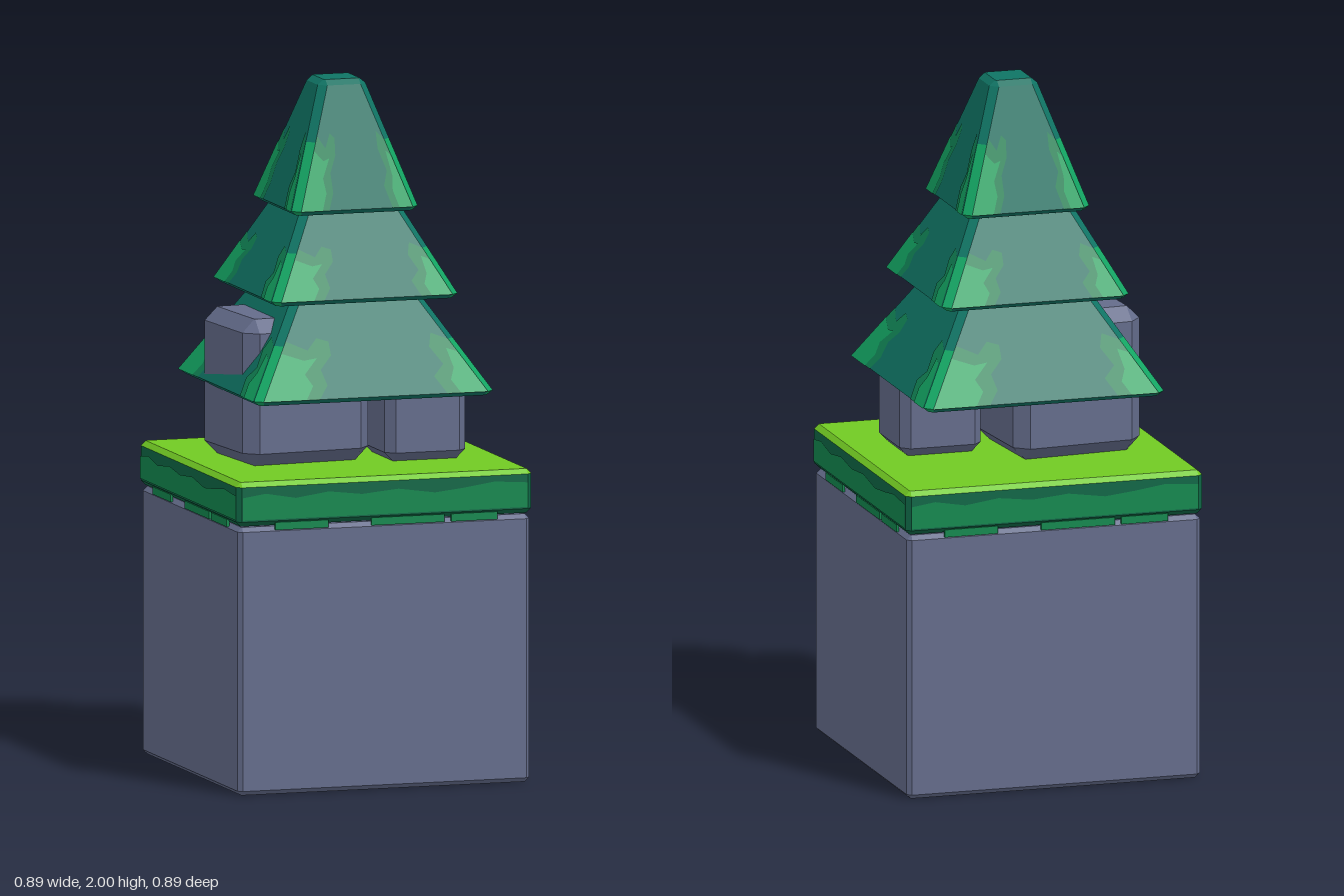
import * as THREE from 'three';

const mat = (name, color) => {
  const m = new THREE.MeshStandardMaterial({ color });
  m.name = name;
  return m;
};

// Outline of a rectangle with cut corners; even sides are flat, odd sides are corners
function ringPoints([hx, hz, c, y]) {
  return [[-hx + c, hz], [hx - c, hz], [hx, hz - c], [hx, -hz + c],
    [hx - c, -hz], [-hx + c, -hz], [-hx, -hz + c], [-hx, hz - c]]
    .map(([x, z]) => [x, y, z]);
}

// Closed solid from stacked rings; pick(row, side) gives a material index
function stack(name, rings, materials, pick = () => 0) {
  const loops = rings.map(ringPoints);
  const buckets = materials.map(() => []);
  const last = loops.length - 1;
  for (let r = 0; r < last; r++) {
    for (let i = 0; i < 8; i++) {
      const j = (i + 1) % 8;
      const a = loops[r][i], b = loops[r][j], c = loops[r + 1][j], d = loops[r + 1][i];
      buckets[pick(r, i)].push(...a, ...b, ...c, ...a, ...c, ...d);
    }
  }
  for (let i = 1; i < 7; i++) {
    buckets[pick('bottom', i)].push(...loops[0][0], ...loops[0][i + 1], ...loops[0][i]);
    buckets[pick('top', i)].push(...loops[last][0], ...loops[last][i], ...loops[last][i + 1]);
  }
  const geo = new THREE.BufferGeometry();
  geo.setAttribute('position', new THREE.Float32BufferAttribute(buckets.flat(), 3));
  let start = 0;
  buckets.forEach((b, k) => {
    geo.addGroup(start, b.length / 3, k);
    start += b.length / 3;
  });
  geo.computeVertexNormals();
  const mesh = new THREE.Mesh(geo, materials);
  mesh.name = name;
  return mesh;
}

// Box with bevelled edges
const bevelRings = (hx, hz, y0, y1, c) => [
  [hx - c, hz - c, 0.002, y0], [hx, hz, c, y0 + c],
  [hx, hz, c, y1 - c], [hx - c, hz - c, 0.002, y1]];

// Flat patch drawn in (u, v), then placed by a mapping rule
function patch(name, points, material, place) {
  const geo = new THREE.ShapeGeometry(new THREE.Shape(points.map(p => new THREE.Vector2(...p))));
  const pos = geo.attributes.position;
  for (let i = 0; i < pos.count; i++) pos.setXYZ(i, ...place(pos.getX(i), pos.getY(i)));
  geo.computeVertexNormals();
  const mesh = new THREE.Mesh(geo, material);
  mesh.name = name;
  return mesh;
}

export function createModel() {
  const stone = mat('stone', 0x646c8b);
  const lime = mat('lime grass', 0x71ca23);
  const turfDark = mat('dark turf', 0x0f6746);
  const turfMid = mat('mid turf', 0x12884f);
  const needle = mat('teal needles', 0x0f7464);
  const leafMid = mat('mid green needles', 0x118657);
  const leafBright = mat('bright green needles', 0x13a563);

  const model = new THREE.Group();
  model.name = 'treeOnBlock';

  // Stone base
  model.add(stack('stoneBlock', bevelRings(0.44, 0.44, 0, 0.775, 0.013), [stone]));

  // Grass slab with a lime top
  model.add(stack('grassSlab', bevelRings(0.445, 0.445, 0.778, 0.906, 0.014),
    [turfDark, lime], r => (r === 2 || r === 'top' || r === 'bottom' ? 1 : 0)));

  // Wavy turf band and hanging tufts on each side
  const wave = [[-0.43, 0.797], [0.43, 0.797], [0.43, 0.868], [0.33, 0.875], [0.24, 0.862],
    [0.15, 0.852], [0.04, 0.868], [-0.07, 0.858], [-0.17, 0.87], [-0.27, 0.856], [-0.36, 0.872], [-0.43, 0.862]];
  const tufts = [[-0.33, -0.17], [-0.04, 0.18], [0.2, 0.34]];
  for (let s = 0; s < 4; s++) {
    const side = new THREE.Group();
    side.name = 'turfSide';
    side.rotation.y = s * Math.PI / 2;
    side.add(patch('turfBand', wave, turfMid, (u, v) => [u, v, 0.447]));
    for (const [a, b] of tufts) {
      const tuft = new THREE.Mesh(new THREE.BoxGeometry(b - a, 0.022, 0.008), turfMid);
      tuft.name = 'hangingTuft';
      tuft.position.set((a + b) / 2, 0.776, 0.439);
      side.add(tuft);
    }
    model.add(side);
  }

  // Rocks
  const bigRock = stack('bigRock', bevelRings(0.195, 0.176, 0.906, 1.33, 0.038), [stone]);
  bigRock.position.set(-0.146, 0, -0.012);
  bigRock.rotation.y = 0.08;
  const smallRock = stack('smallRock', bevelRings(0.122, 0.122, 0.906, 1.135, 0.026), [stone]);
  smallRock.position.set(0.21, 0, 0.077);
  model.add(bigRock, smallRock);

  // Leaf patches: u runs across a face, v up it
  const midPatches = [
    [[-1, 0], [-0.5, 0], [-0.44, 0.14], [-0.52, 0.3], [-0.42, 0.44], [-0.46, 0.58], [-0.62, 0.62], [-0.7, 0.5], [-1, 0.6]],
    [[1, 0], [1, 0.55], [0.84, 0.62], [0.72, 0.48], [0.76, 0.3], [0.6, 0.18], [0.64, 0]],
  ];
  const brightPatches = [
    [[-1, 0], [-0.62, 0], [-0.58, 0.14], [-0.68, 0.26], [-0.58, 0.42], [-0.72, 0.4], [-1, 0.48]],
    [[1, 0], [1, 0.42], [0.9, 0.46], [0.84, 0.26], [0.74, 0.14], [0.76, 0]],
  ];

  // Tree tiers: [bottom y, top y, bottom half width, top half width]
  const tiers = [[1.11, 1.4, 0.36, 0.195], [1.383, 1.645, 0.28, 0.155], [1.628, 2, 0.19, 0.072]];
  tiers.forEach(([y0, y1, h, t], k) => {
    const tier = new THREE.Group();
    tier.name = 'treeTier' + (k + 1);
    const lo = y0 + 0.013, hi = y1 - 0.015, cut = 0.022;
    const at = v => h + (t - h) * v;
    tier.add(stack('tierBody', [
      [h - 0.016, h - 0.016, 0.012, y0], [h, h, cut, lo],
      [at(0.55), at(0.55), cut, lo + (hi - lo) * 0.55],
      [t, t, cut, hi], [t - 0.018, t - 0.018, 0.004, y1]],
    [needle, leafBright], (r, i) => (r <= 1 && i % 2 ? 1 : 0)));
    for (let s = 0; s < 4; s++) {
      const side = new THREE.Group();
      side.name = 'tierSidePatches';
      side.rotation.y = s * Math.PI / 2;
      const place = lift => (u, v) => [u * (at(v) - cut), lo + (hi - lo) * v, at(v) + lift];
      midPatches.forEach(p => side.add(patch('midLeafPatch', p, leafMid, place(0.002))));
      brightPatches.forEach(p => side.add(patch('brightLeafPatch', p, leafBright, place(0.004))));
      tier.add(side);
    }
    model.add(tier);
  });

  return model;
}
